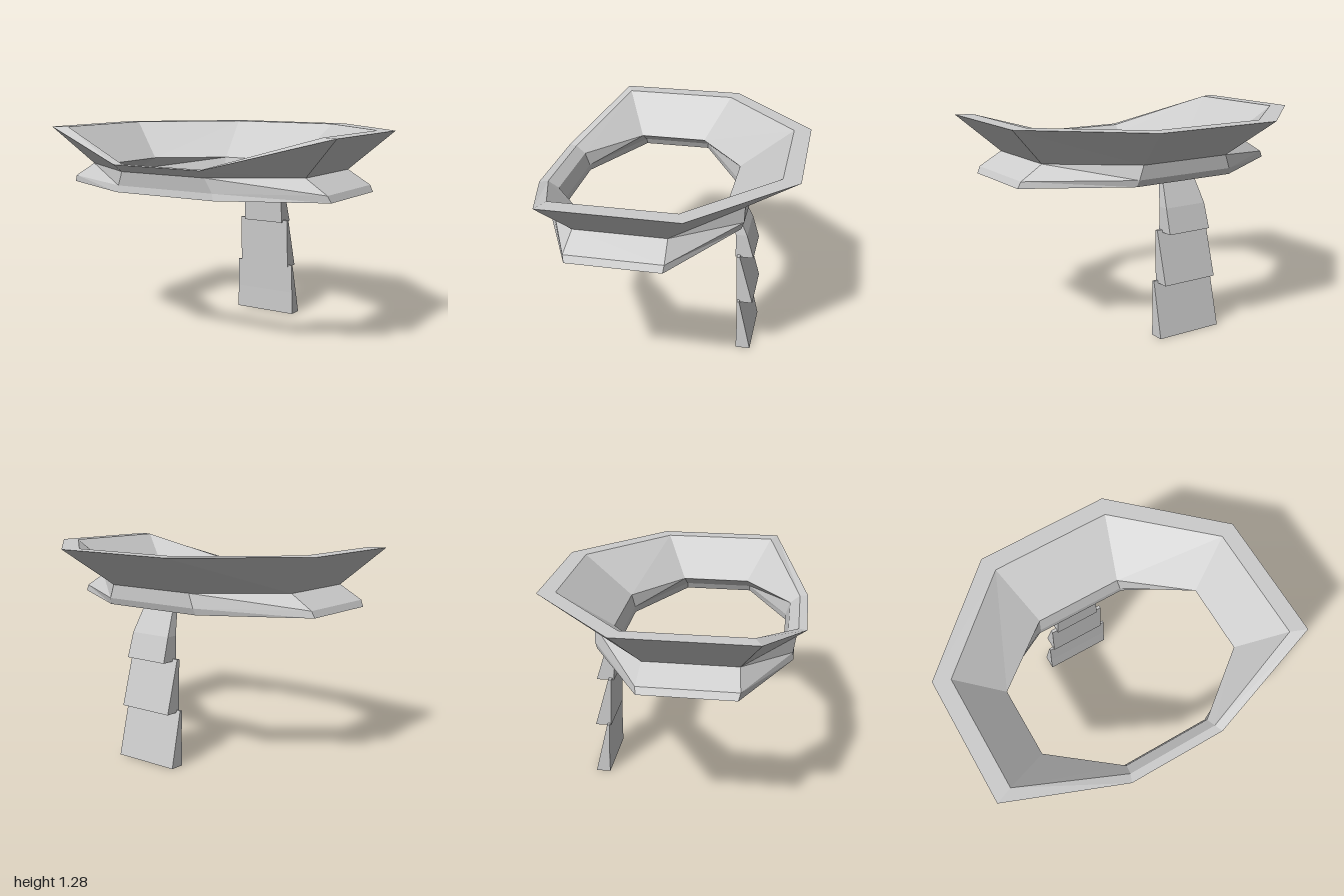
import * as THREE from 'three';

const material = new THREE.MeshStandardMaterial({ color: 0xcccccc, flatShading: true });

// Mirrored octagon from four right-hand corners [x, y, z], front to back
function octagon(corners) {
  return [...corners, ...corners.slice().reverse().map(([x, y, z]) => [-x, y, z])];
}

// Faces between closed loops, listed from top to bottom along the outside.
// flips: bands whose quads are split along the other diagonal.
function loft(name, loops, { flips = [], caps = false } = {}) {
  const pos = [];
  const tri = (...pts) => pts.forEach((p) => pos.push(...p));
  for (let i = 0; i < loops.length - 1; i++) {
    const a = loops[i], b = loops[i + 1], n = a.length;
    for (let j = 0; j < n; j++) {
      const k = (j + 1) % n;
      if (flips.includes(i)) {
        tri(a[j], b[j], a[k]);
        tri(b[j], b[k], a[k]);
      } else {
        tri(a[j], b[j], b[k]);
        tri(a[j], b[k], a[k]);
      }
    }
  }
  if (caps) {
    const t = loops[0], b = loops[loops.length - 1];
    tri(t[0], t[1], t[2]); tri(t[0], t[2], t[3]);
    tri(b[0], b[2], b[1]); tri(b[0], b[3], b[2]);
  }
  const geometry = new THREE.BufferGeometry();
  geometry.setAttribute('position', new THREE.Float32BufferAttribute(pos, 3));
  geometry.computeVertexNormals();
  const mesh = new THREE.Mesh(geometry, material);
  mesh.name = name;
  return mesh;
}

// Tapered plate from rows [y, halfWidth, zFront, zBack], top to bottom
function plate(name, rows) {
  const loops = rows.map(([y, w, zf, zb]) => [[w, y, zf], [w, y, zb], [-w, y, zb], [-w, y, zf]]);
  return loft(name, loops, { caps: true });
}

export function createModel() {
  const model = new THREE.Group();
  model.name = 'collarWithTail';

  // Flared upper rim, dipping at the front
  const rimOuter = octagon([[0.3, 1.1, 0.78], [1, 1.285, 0.55], [1, 1.285, -0.24], [0.41, 1.285, -0.785]]);
  const rimInner = octagon([[0.28, 1.1, 0.73], [0.9, 1.285, 0.51], [0.9, 1.285, -0.2], [0.37, 1.285, -0.68]]);
  // Waist shared by the rim and the lower band
  const waistOuter = octagon([[0.29, 1.055, 0.72], [0.76, 1.055, 0.43], [0.76, 1.055, -0.11], [0.3, 1.055, -0.47]]);
  const waistInner = octagon([[0.27, 1.055, 0.67], [0.65, 1.055, 0.37], [0.65, 1.055, -0.06], [0.27, 1.055, -0.36]]);
  model.add(loft('upperRim', [waistInner, rimInner, rimOuter, waistOuter], { flips: [0] }));

  // Lower band, flaring out at the sides
  const flareOuter = octagon([[0.33, 0.97, 0.705], [0.9, 0.97, 0.445], [0.9, 0.97, -0.12], [0.33, 0.97, -0.47]]);
  const baseOuter = octagon([[0.34, 0.93, 0.71], [0.92, 0.93, 0.435], [0.92, 0.93, -0.115], [0.34, 0.93, -0.455]]);
  const baseInner = octagon([[0.29, 0.93, 0.645], [0.82, 0.93, 0.38], [0.82, 0.93, -0.06], [0.29, 0.93, -0.34]]);
  const flareInner = octagon([[0.28, 0.97, 0.645], [0.8, 0.97, 0.38], [0.8, 0.97, -0.06], [0.28, 0.97, -0.34]]);
  model.add(loft('lowerBand', [waistOuter, flareOuter, baseOuter, baseInner, flareInner, waistInner],
    { flips: [3, 4] }));

  // Overlapping plates hanging from the back
  const tail = new THREE.Group();
  tail.name = 'tail';
  tail.add(
    plate('upperPlate', [[0.935, 0.115, -0.355, -0.395], [0.78, 0.14, -0.4, -0.47], [0.63, 0.145, -0.405, -0.515]]),
    plate('middlePlate', [[0.645, 0.18, -0.415, -0.435], [0.325, 0.182, -0.425, -0.525]]),
    plate('lowerPlate', [[0.34, 0.21, -0.43, -0.445], [0.15, 0.213, -0.435, -0.49], [0, 0.215, -0.435, -0.525]]),
  );
  model.add(tail);
  return model;
}
